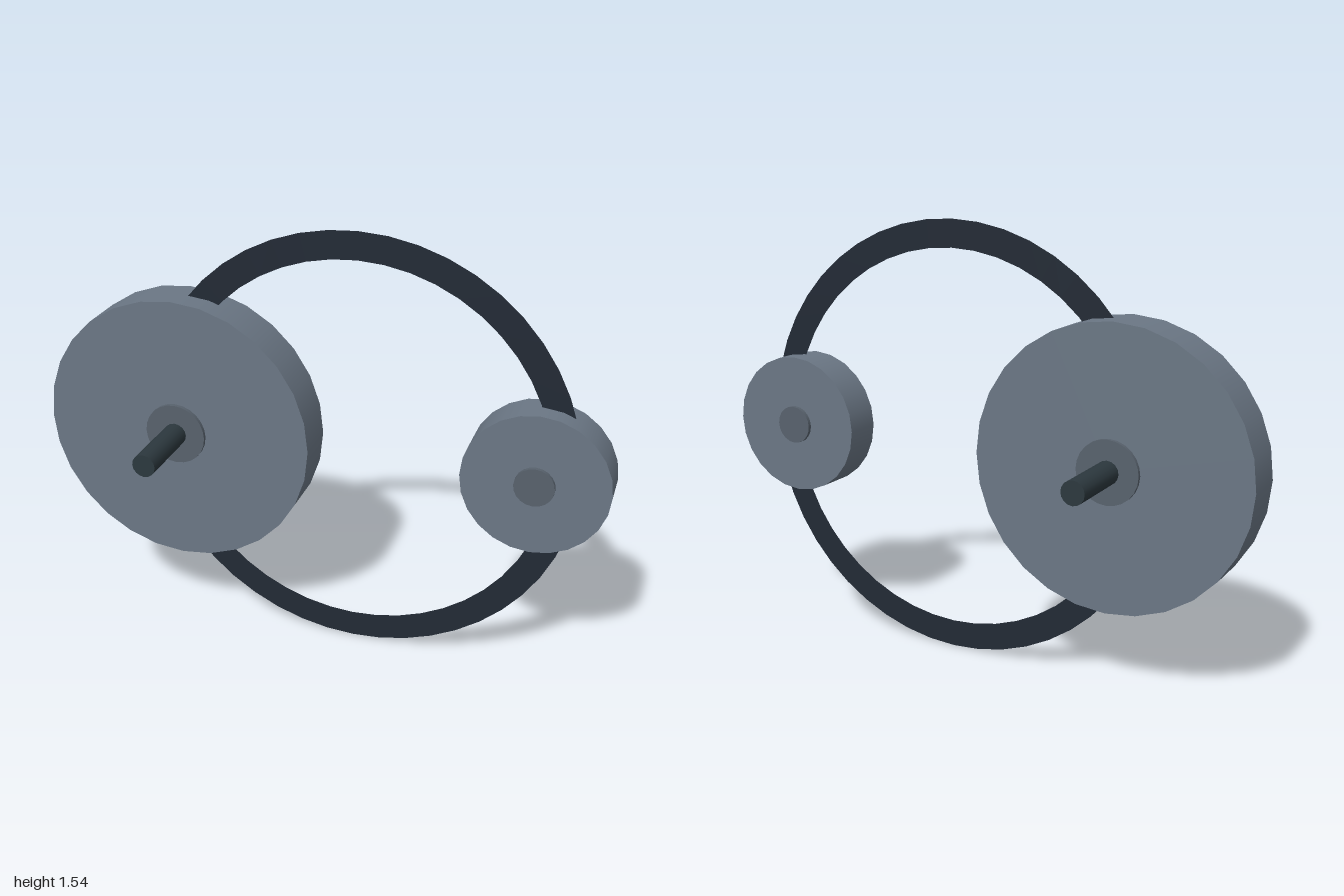
import * as THREE from 'three';

const CENTER_Y = 0.77;
const BIG_X = -0.513;
const SMALL_X = 0.748;

const paint = (color, side = THREE.FrontSide) => new THREE.MeshStandardMaterial({ color, side });

export function createModel() {
  const model = new THREE.Group();
  model.name = 'beltDrive';

  const wheelPaint = paint(0x6b7785);
  const hubPaint = paint(0x58626d);
  const shaftPaint = paint(0x2c383e);
  const beltPaint = paint(0x222a35, THREE.DoubleSide);

  // Disc with its axis along z, centred on z = 0
  function disc(name, x, radius, depth, sides, material) {
    const geometry = new THREE.CylinderGeometry(radius, radius, depth, sides).rotateX(Math.PI / 2);
    const mesh = new THREE.Mesh(geometry, material);
    mesh.name = name;
    mesh.position.set(x, CENTER_Y, 0);
    model.add(mesh);
  }

  // Large pulley with hub and through shaft
  disc('largePulley', BIG_X, 0.487, 0.167, 28, wheelPaint);
  disc('largeHub', BIG_X, 0.11, 0.194, 24, hubPaint);
  disc('shaft', BIG_X, 0.041, 0.7, 16, shaftPaint);

  // Small pulley with hub
  disc('smallPulley', SMALL_X, 0.25, 0.139, 24, wheelPaint);
  disc('smallHub', SMALL_X, 0.068, 0.166, 20, hubPaint);

  // Flat belt loop passing through both pulleys
  const belt = new THREE.Mesh(new THREE.RingGeometry(0.673, 0.77, 48), beltPaint);
  belt.name = 'belt';
  belt.position.set(0.117, CENTER_Y, 0);
  model.add(belt);

  return model;
}
